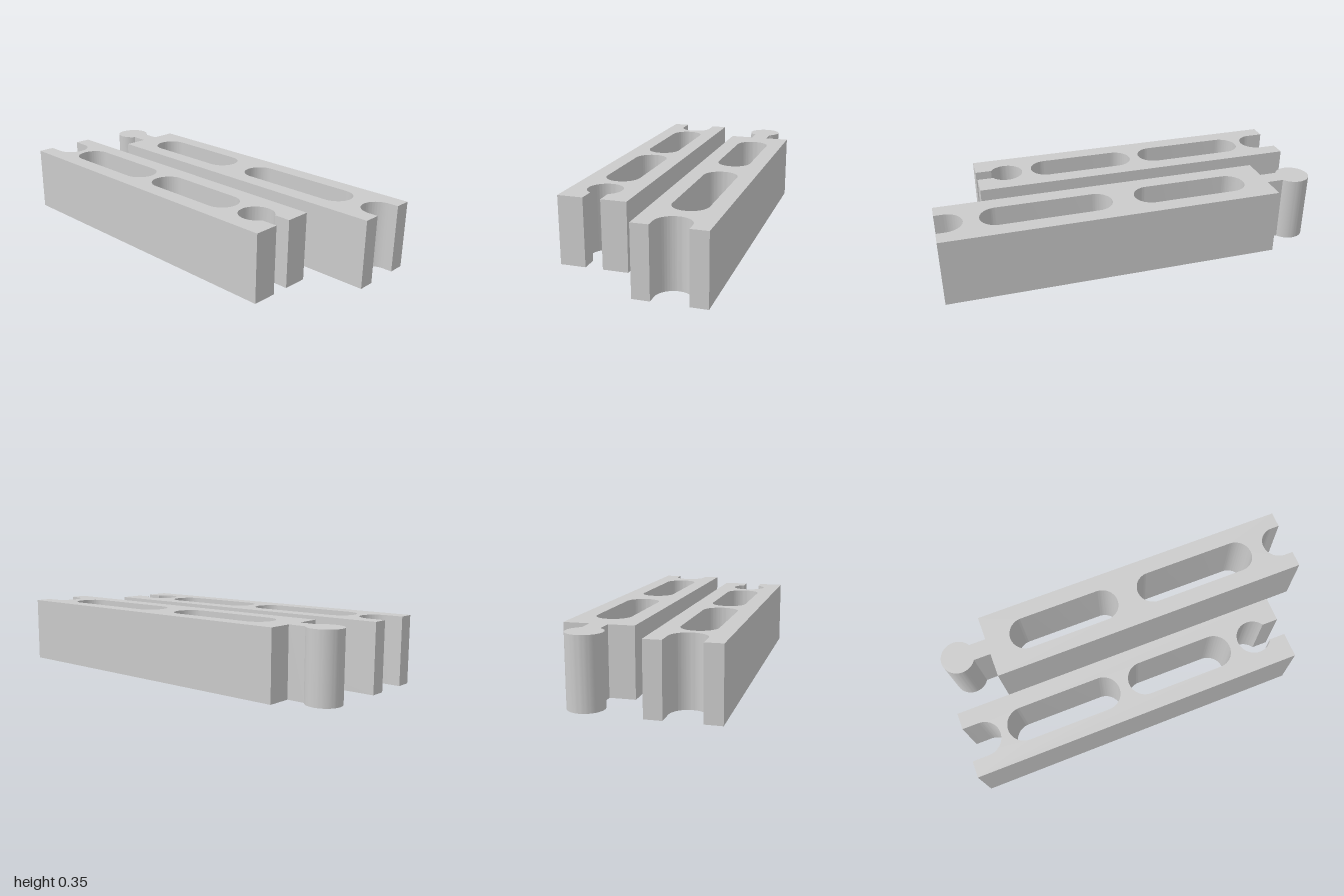
import * as THREE from 'three';
import { toCreasedNormals } from 'three/addons/utils/BufferGeometryUtils.js';

const HEIGHT = 0.35, HALF = 0.175, R = 0.0885, NECK = 0.045;
const NECK_ANGLE = Math.asin(NECK / R);
const material = new THREE.MeshStandardMaterial({ color: 0xcccccc });

// Rounded slot through a bar, from x0 to x1
function slot(x0, x1) {
  const path = new THREE.Path();
  path.absarc(x0 + R, 0, R, Math.PI * 1.5, Math.PI / 2, true);
  path.absarc(x1 - R, 0, R, Math.PI / 2, -Math.PI / 2, true);
  path.closePath();
  return path;
}

// Stand a plan outline up as a bar centred on depth z
function bar(name, shape, z) {
  const extruded = new THREE.ExtrudeGeometry(shape, { depth: HEIGHT, bevelEnabled: false, curveSegments: 32 });
  extruded.rotateX(-Math.PI / 2);
  const mesh = new THREE.Mesh(toCreasedNormals(extruded, Math.PI / 6), material);
  mesh.name = name;
  mesh.position.z = z;
  return mesh;
}

export function createModel() {
  const group = new THREE.Group();
  group.name = 'interlockingBars';

  // Bar with a round pin on one end and an open notch on the other
  const pin = new THREE.Shape();
  pin.moveTo(-0.745, -HALF);
  pin.lineTo(1, -HALF);
  pin.lineTo(1, -R);
  pin.lineTo(0.953, -R);
  pin.absarc(0.953, 0, R, -Math.PI / 2, Math.PI / 2, true);
  pin.lineTo(1, R);
  pin.lineTo(1, HALF);
  pin.lineTo(-0.745, HALF);
  pin.lineTo(-0.745, NECK);
  pin.absarc(-1 + R, 0, R, NECK_ANGLE, Math.PI * 2 - NECK_ANGLE, false);
  pin.lineTo(-0.745, -NECK);
  pin.closePath();
  pin.holes.push(slot(-0.62, -0.01), slot(0.11, 0.785));
  group.add(bar('pinBar', pin, -0.234));

  // Bar with a matching round socket and an open notch
  const socket = new THREE.Shape();
  socket.moveTo(-1, -HALF);
  socket.lineTo(0.745, -HALF);
  socket.lineTo(0.745, -NECK);
  socket.absarc(0.584, 0, R, -NECK_ANGLE, NECK_ANGLE, true);
  socket.lineTo(0.745, NECK);
  socket.lineTo(0.745, HALF);
  socket.lineTo(-1, HALF);
  socket.lineTo(-1, R);
  socket.lineTo(-0.914, R);
  socket.absarc(-0.914, 0, R, Math.PI / 2, -Math.PI / 2, true);
  socket.lineTo(-1, -R);
  socket.closePath();
  socket.holes.push(slot(-0.785, -0.18), slot(-0.125, 0.445));
  group.add(bar('socketBar', socket, 0.234));

  return group;
}
